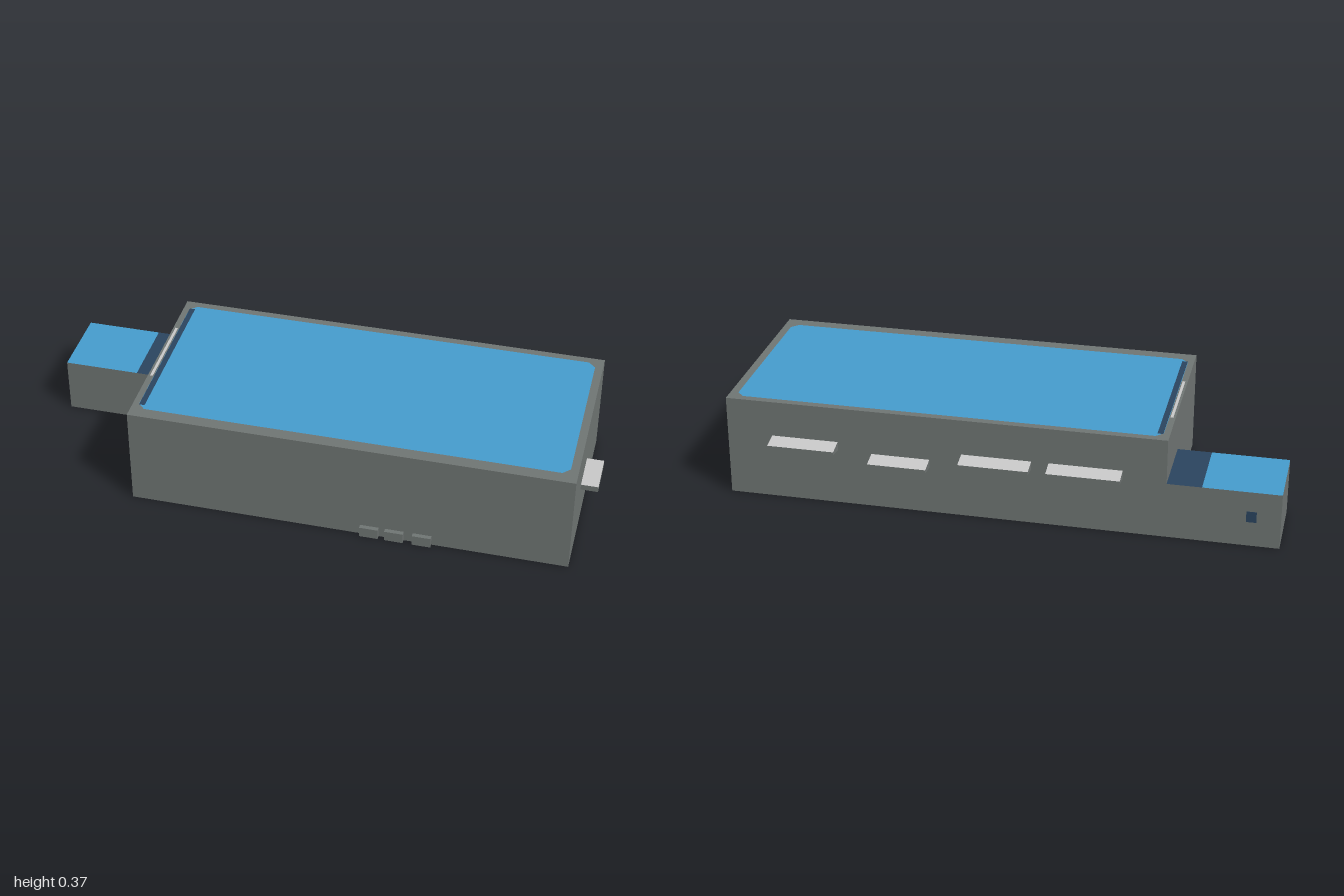
import * as THREE from 'three';

const mat = (name, color) => {
  const m = new THREE.MeshStandardMaterial({ color, side: THREE.DoubleSide });
  m.name = name;
  return m;
};

export function createModel() {
  const group = new THREE.Group();
  const wall = mat('wall grey', 0x707674);
  const blue = mat('roof blue', 0x469dce);
  const navy = mat('dark blue', 0x2b4560);
  const pale = mat('pale grey', 0xc9c9c9);

  const add = (name, geo, material) => {
    const m = new THREE.Mesh(geo, material);
    m.name = name;
    group.add(m);
    return m;
  };

  // Outline in plan; a bevel cuts the corners
  const trace = (path, x0, x1, z0, z1, b = 0) => {
    const pts = [[x0 + b, z0], [x1 - b, z0], [x1, z0 + b], [x1, z1 - b],
      [x1 - b, z1], [x0 + b, z1], [x0, z1 - b], [x0, z0 + b]];
    path.setFromPoints(pts.map(([x, z]) => new THREE.Vector2(x, -z)));
    return path;
  };
  const flat = (shape, y) => new THREE.ShapeGeometry(shape).rotateX(-Math.PI / 2).translate(0, y, 0);
  const rect = (x0, x1, z0, z1, y) => flat(trace(new THREE.Shape(), x0, x1, z0, z1), y);

  // Four walls, open above and below
  const walls = (name, x0, x1, z0, z1, h) => {
    const p = [[x0, z0], [x0, z1], [x1, z1], [x1, z0]];
    const pos = [], idx = [];
    p.forEach(([ax, az], i) => {
      const [bx, bz] = p[(i + 1) % 4];
      pos.push(ax, 0, az, bx, 0, bz, bx, h, bz, ax, h, az);
      const k = i * 4;
      idx.push(k, k + 1, k + 2, k, k + 2, k + 3);
    });
    const g = new THREE.BufferGeometry();
    g.setAttribute('position', new THREE.Float32BufferAttribute(pos, 3));
    g.setIndex(idx);
    g.computeVertexNormals();
    add(name, g, wall);
  };

  // Main hall: walls, grey roof rim, blue roof with a shaded strip at one end
  const H = 0.365;
  walls('hallWalls', -0.61, 0.94, -0.335, 0.375, H);
  const rim = trace(new THREE.Shape(), -0.61, 0.94, -0.335, 0.375);
  rim.holes.push(trace(new THREE.Path(), -0.588, 0.912, -0.308, 0.33, 0.025));
  add('roofRim', flat(rim, H), wall);
  add('roof', flat(trace(new THREE.Shape(), -0.588, 0.912, -0.308, 0.33, 0.025), H), blue);
  add('roofShade', rect(-0.587, -0.567, -0.29, 0.31, H + 0.001), navy);
  add('roofTrim', rect(-0.602, -0.592, -0.16, 0.14, H + 0.001), pale);

  // Low annex
  walls('annexWalls', -1, -0.61, -0.335, -0.07, 0.203);
  add('annexRoof', rect(-1, -0.73, -0.335, -0.07, 0.203), blue);
  add('annexRoofShade', rect(-0.73, -0.61, -0.335, -0.07, 0.203), navy);
  add('annexSign', new THREE.BoxGeometry(0.035, 0.04, 0.002).translate(-0.9, 0.11, -0.335), navy);

  // Canopy: sloping pale top, grey front and cheeks, open beneath; projects along +z
  const canopy = (name, w, d, yWall, yTip) => {
    const a = w / 2;
    const T = [[-a, yWall[1], 0], [a, yWall[1], 0], [a, yTip[1], d], [-a, yTip[1], d]];
    const B = [[-a, yWall[0], 0], [a, yWall[0], 0], [a, yTip[0], d], [-a, yTip[0], d]];
    const quads = [[T[3], T[2], T[1], T[0]], [B[3], B[2], T[2], T[3]],
      [B[2], B[1], T[1], T[2]], [B[0], B[3], T[3], T[0]]];
    const pos = quads.flatMap(([p, q, r, s]) => [p, q, r, p, r, s]).flat();
    const g = new THREE.BufferGeometry();
    g.setAttribute('position', new THREE.Float32BufferAttribute(pos, 3));
    g.computeVertexNormals();
    g.addGroup(0, 6, 0);
    g.addGroup(6, 18, 1);
    return add(name, g, [pale, wall]);
  };

  // Back canopies; one hangs lower
  [[-0.46, -0.205, 0], [-0.145, 0.1, 0], [0.213, 0.42, -0.033], [0.54, 0.778, 0]].forEach(([x0, x1, dy], i) => {
    const c = canopy('backCanopy' + (i + 1), x1 - x0, 0.057, [0.205, 0.236], [0.213, 0.224]);
    c.rotation.y = Math.PI;
    c.position.set((x0 + x1) / 2, dy, -0.335);
  });

  // Side canopy
  const side = canopy('sideCanopy', 0.148, 0.06, [0.183, 0.204], [0.183, 0.204]);
  side.rotation.y = Math.PI / 2;
  side.position.set(0.94, 0, 0.105);

  // Small blocks along the foot of the front wall
  [0.248, 0.336, 0.433].forEach((x, i) => {
    add('frontBlock' + (i + 1), new THREE.BoxGeometry(0.066, 0.038, 0.016).translate(x, 0.019, 0.383), wall);
  });

  return group;
}
